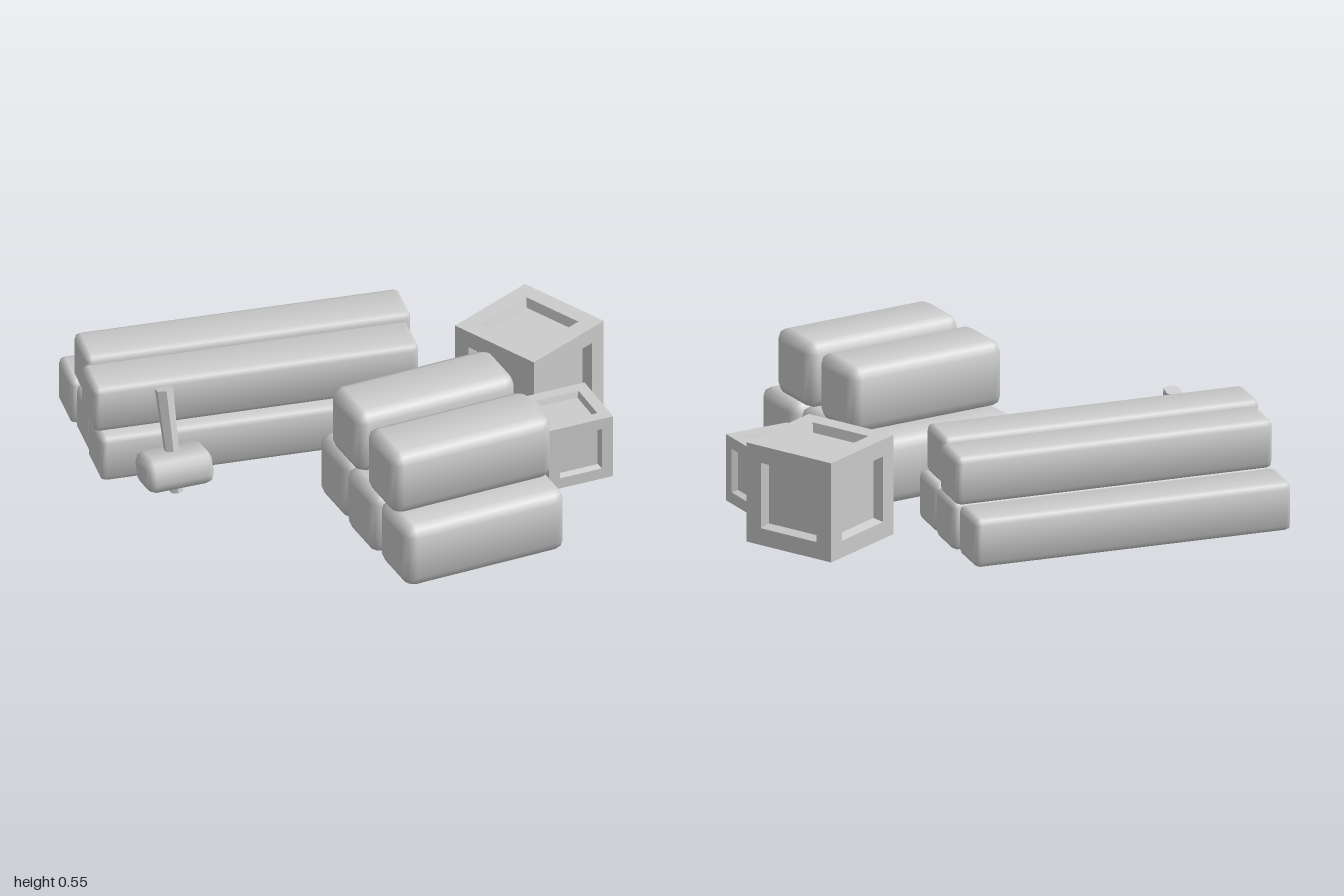
import * as THREE from 'three';
import { mergeVertices } from 'three/addons/utils/BufferGeometryUtils.js';

const grey = new THREE.MeshStandardMaterial({ color: 0xcccccc });
const greyFlat = new THREE.MeshStandardMaterial({ color: 0xcccccc, flatShading: true });

function add(parent, name, geometry, material, x = 0, y = 0, z = 0, turn = 0) {
  const mesh = new THREE.Mesh(geometry, material);
  mesh.name = name;
  mesh.position.set(x, y, z);
  mesh.rotation.y = turn;
  parent.add(mesh);
  return mesh;
}

// Block with rounded-off edges of width c and softly shaded long sides
function softBlock(w, h, d, c) {
  let geo = new THREE.BoxGeometry(w, h, d, 3, 3, 3);
  geo.deleteAttribute('uv');
  geo.deleteAttribute('normal');
  geo = mergeVertices(geo);
  geo.computeVertexNormals();
  const half = [w / 2, h / 2, d / 2];
  const pos = geo.attributes.position;
  const normal = new THREE.Vector3();
  for (let i = 0; i < pos.count; i++) {
    const p = [pos.getX(i), pos.getY(i), pos.getZ(i)];
    const outer = p.map((v, k) => Math.abs(v) > half[k] * 0.6);
    const count = outer.filter(Boolean).length;
    const pull = [0, 0, 0.3, 0.42][count] * c;
    const onEnd = outer[0] && count === 1;
    const q = p.map((v, k) => Math.sign(v) * (half[k] - (outer[k] ? pull : c)));
    const n = p.map((v, k) => Math.sign(v) * (outer[k] ? 1 : onEnd || k === 0 ? 0 : 0.3));
    pos.setXYZ(i, ...q);
    normal.set(...n).normalize();
    geo.attributes.normal.setXYZ(i, normal.x, normal.y, normal.z);
  }
  return geo;
}

// Cube with a sunken panel on the top and on each side, plain underneath
function crate(name, size, x, z, turn) {
  const group = new THREE.Group();
  group.name = name;
  const a = size / 2, b = a * 0.66, depth = size * 0.09;
  const r = Math.SQRT2;
  const profile = [[a, a], [b, a], [b - size * 0.03, a - depth], [0, a - depth]]
    .map(([s, y]) => new THREE.Vector2(s * r, y));
  const panel = new THREE.LatheGeometry(profile, 4, Math.PI / 4);
  add(group, 'topPanel', panel, greyFlat);
  for (let i = 0; i < 4; i++) {
    const side = add(group, 'sidePanel', panel, greyFlat, 0, 0, 0, i * Math.PI / 2);
    side.rotation.order = 'YXZ';
    side.rotation.x = Math.PI / 2;
  }
  const base = new THREE.PlaneGeometry(size, size).rotateX(Math.PI / 2);
  add(group, 'bottomPanel', base, greyFlat, 0, -a, 0);
  group.position.set(x, 0.015 + a, z);
  group.rotation.y = turn;
  return group;
}

export function createModel() {
  const model = new THREE.Group();
  model.name = 'supplyPile';

  // Stacked beams: three below, two on top
  const beams = new THREE.Group();
  beams.name = 'beamStack';
  const beam = softBlock(1.27, 0.195, 0.2, 0.025);
  for (const [x, y, z] of [
    [-0.355, 0.115, -0.718], [-0.335, 0.115, -0.505], [-0.337, 0.115, -0.293],
    [-0.332, 0.313, -0.56], [-0.355, 0.313, -0.33],
  ]) add(beams, 'beam', beam, grey, x, y, z, 0.028);
  model.add(beams);

  // Stacked sacks: three below, two on top
  const sacks = new THREE.Group();
  sacks.name = 'sackStack';
  const sack = softBlock(0.67, 0.265, 0.262, 0.045);
  for (const [x, y, z] of [
    [0.167, 0.148, 0.115], [0.212, 0.148, 0.375], [0.28, 0.148, 0.635],
    [0.188, 0.413, 0.215], [0.253, 0.413, 0.535],
  ]) add(sacks, 'sack', sack, grey, x, y, z, 0.217);
  model.add(sacks);

  // Crates
  model.add(crate('largeCrate', 0.397, 0.72, -0.305, 0.617));
  model.add(crate('smallCrate', 0.265, 0.77, 0.102, 0.19));

  // Mallet standing on its head, leaning against the beams
  const mallet = new THREE.Group();
  mallet.name = 'mallet';
  add(mallet, 'malletHead', softBlock(0.265, 0.13, 0.2, 0.035), grey, 0, 0, 0.015);
  add(mallet, 'malletHandle', new THREE.CylinderGeometry(0.036, 0.025, 0.41, 6), greyFlat, 0, 0.103, 0);
  mallet.position.set(-0.705, 0.103, -0.1);
  mallet.rotation.set(-0.26, 0.05, 0.06);
  model.add(mallet);

  return model;
}
